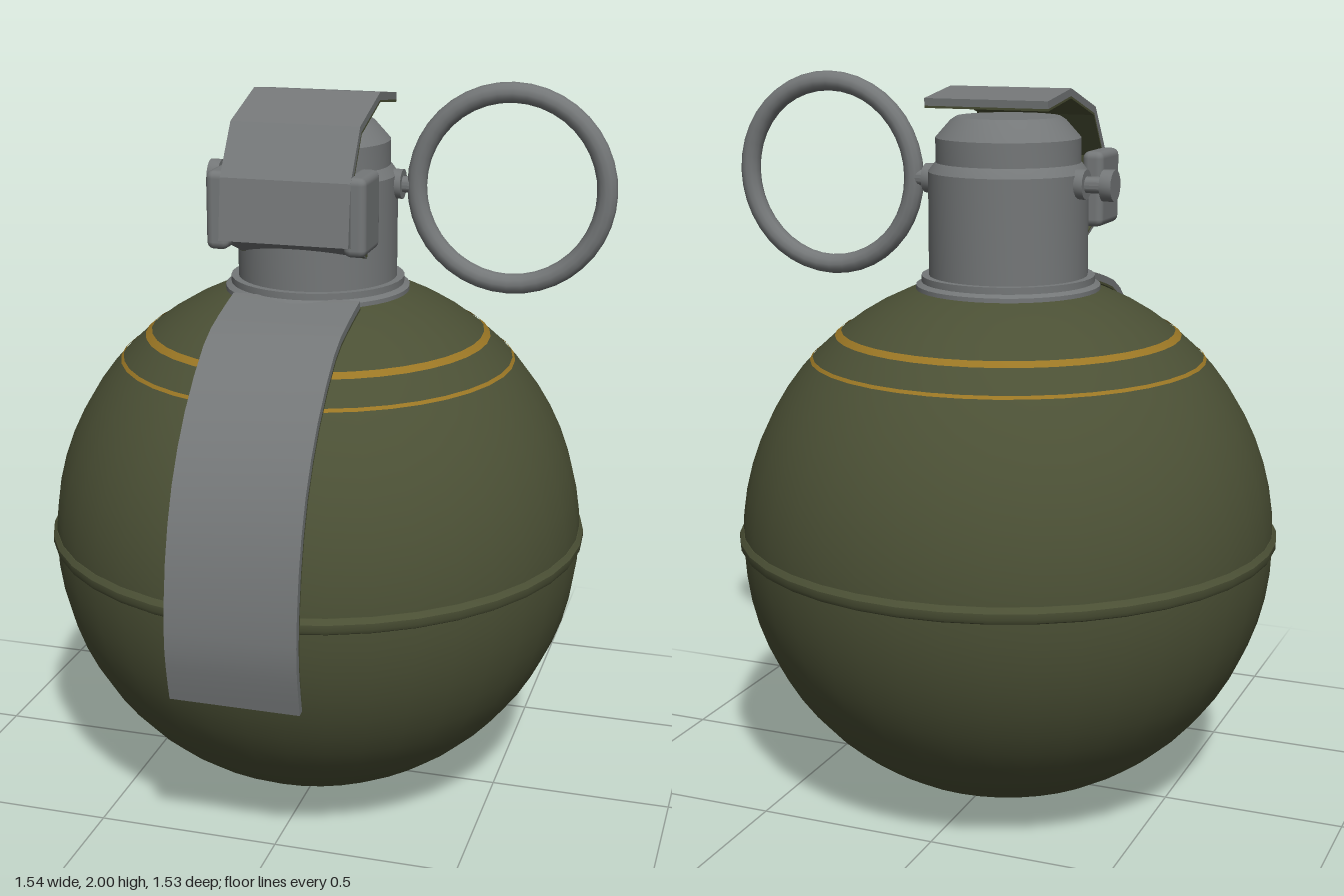
import * as THREE from 'three';
import { toCreasedNormals } from 'three/addons/utils/BufferGeometryUtils.js';
import { RoundedBoxGeometry } from 'three/addons/geometries/RoundedBoxGeometry.js';

const olive = new THREE.MeshStandardMaterial({ name: 'olive paint', color: 0x4b5035 });
const steel = new THREE.MeshStandardMaterial({ name: 'grey steel', color: 0x747778 });
const gold = new THREE.MeshStandardMaterial({ name: 'yellow band', color: 0x9a7624, side: THREE.DoubleSide });

const CX = -0.03, CZ = -0.02, R = 0.735, SEGMENTS = 40;

function add(parent, name, geometry, material, x = 0, y = 0, z = 0) {
  const mesh = new THREE.Mesh(geometry, material);
  mesh.name = name;
  mesh.position.set(x, y, z);
  parent.add(mesh);
  return mesh;
}

function lathe(points, crease = 0.5) {
  const profile = points.map(([r, y]) => new THREE.Vector2(r, y));
  return toCreasedNormals(new THREE.LatheGeometry(profile, SEGMENTS), crease);
}

// Shift a [z, y] path along its normal, toward the inside of the bend
function offsetPath(path, distance) {
  return path.map(([z, y], i) => {
    const a = path[Math.max(i - 1, 0)], b = path[Math.min(i + 1, path.length - 1)];
    const dz = b[0] - a[0], dy = b[1] - a[1], length = Math.hypot(dz, dy);
    return [z + dy / length * distance, y - dz / length * distance];
  });
}

// Bent sheet across the lever width, between two offsets of the path
function sheet(path, from, to) {
  const outline = [...offsetPath(path, from), ...offsetPath(path, to).reverse()];
  const shape = new THREE.Shape(outline.map(([z, y]) => new THREE.Vector2(z, y)));
  const geometry = new THREE.ExtrudeGeometry(shape, { depth: 0.345, bevelEnabled: false });
  geometry.rotateY(-Math.PI / 2).translate(0.145, 0, 0);
  return toCreasedNormals(geometry, 0.35);
}

export function createModel() {
  const group = new THREE.Group();

  // Round body with a seam around the middle
  add(group, 'body', new THREE.SphereGeometry(R, SEGMENTS, 32), olive, CX, R + 0.005, CZ);
  add(group, 'seam', lathe([[0.725, 0.72], [0.74, 0.73], [0.745, 0.74], [0.745, 0.756], [0.735, 0.77], [0.72, 0.772]]),
    olive, CX, 0, CZ);

  // Painted bands that follow the curve of the body
  for (const [y, height] of [[1.313, 0.014], [1.245, 0.008]]) {
    const at = h => Math.sqrt(R * R - (h - R - 0.005) ** 2) + 0.003;
    add(group, 'paintedBand', lathe([[at(y - height / 2), y - height / 2], [at(y + height / 2), y + height / 2]]),
      gold, CX, 0, CZ);
  }

  // Stepped neck and cap
  add(group, 'collar', lathe([[0.25, 1.39], [0.25, 1.442], [0.235, 1.45], [0.235, 1.468], [0.2, 1.468]]),
    steel, CX, 0, CZ);
  add(group, 'neck', lathe([[0.215, 1.42], [0.215, 1.745], [0.2, 1.765], [0.195, 1.77], [0.195, 1.835],
    [0.155, 1.88], [0.14, 1.89], [0, 1.89]]), steel, CX, 0, CZ);

  // Upper lever: grey outside, olive inside
  const upper = [[-0.175, 1.942], [0, 1.965], [0.195, 1.905], [0.285, 1.775], [0.305, 1.615]];
  add(group, 'upperLever', sheet(upper, 0, -0.022).scale(1, 1, 1), steel).geometry = sheet(upper, 0, 0.02);
  add(group, 'upperLeverLining', sheet(upper, 0.02, 0.026), olive);
  add(group, 'leverTongue', sheet([[0.298, 1.622], [0.12, 1.55]], 0, 0.012), olive);
  add(group, 'leverTongueTop', sheet([[0.29, 1.63], [0.12, 1.563]], -0.012, 0), steel);

  // Lower lever hugging the body
  const lower = new THREE.SplineCurve([[0.19, 1.452], [0.315, 1.42], [0.43, 1.372], [0.575, 1.24], [0.68, 1.08],
    [0.74, 0.9], [0.762, 0.72], [0.755, 0.62], [0.735, 0.525]].map(p => new THREE.Vector2(...p)))
    .getPoints(16).map(p => [p.x, p.y]);
  add(group, 'lowerLever', sheet(lower, 0, 0.02), steel);
  add(group, 'lowerLeverLining', sheet(lower, 0.02, 0.026), olive);

  // Ears on both sides of the lever
  for (const side of [-1, 1]) {
    add(group, 'leverEar', new RoundedBoxGeometry(0.06, 0.205, 0.155, 2, 0.02), steel,
      CX + side * 0.183, 1.687, 0.207);
  }

  // Safety pin with its head, and the pull ring
  const rod = (r, length) => toCreasedNormals(new THREE.CylinderGeometry(r, r, length, 16).rotateZ(Math.PI / 2), 0.6);
  add(group, 'pin', rod(0.022, 0.56), steel, -0.045, 1.72, -0.042);
  add(group, 'pinHead', rod(0.042, 0.032), steel, -0.323, 1.72, -0.042);
  for (const side of [-1, 1]) {
    add(group, 'pinBoss', rod(0.04, 0.03), steel, CX + side * 0.215, 1.72, -0.042);
  }
  add(group, 'pullRing', new THREE.TorusGeometry(0.252, 0.027, 12, 40), steel, 0.49, 1.721, -0.04);

  return group;
}
